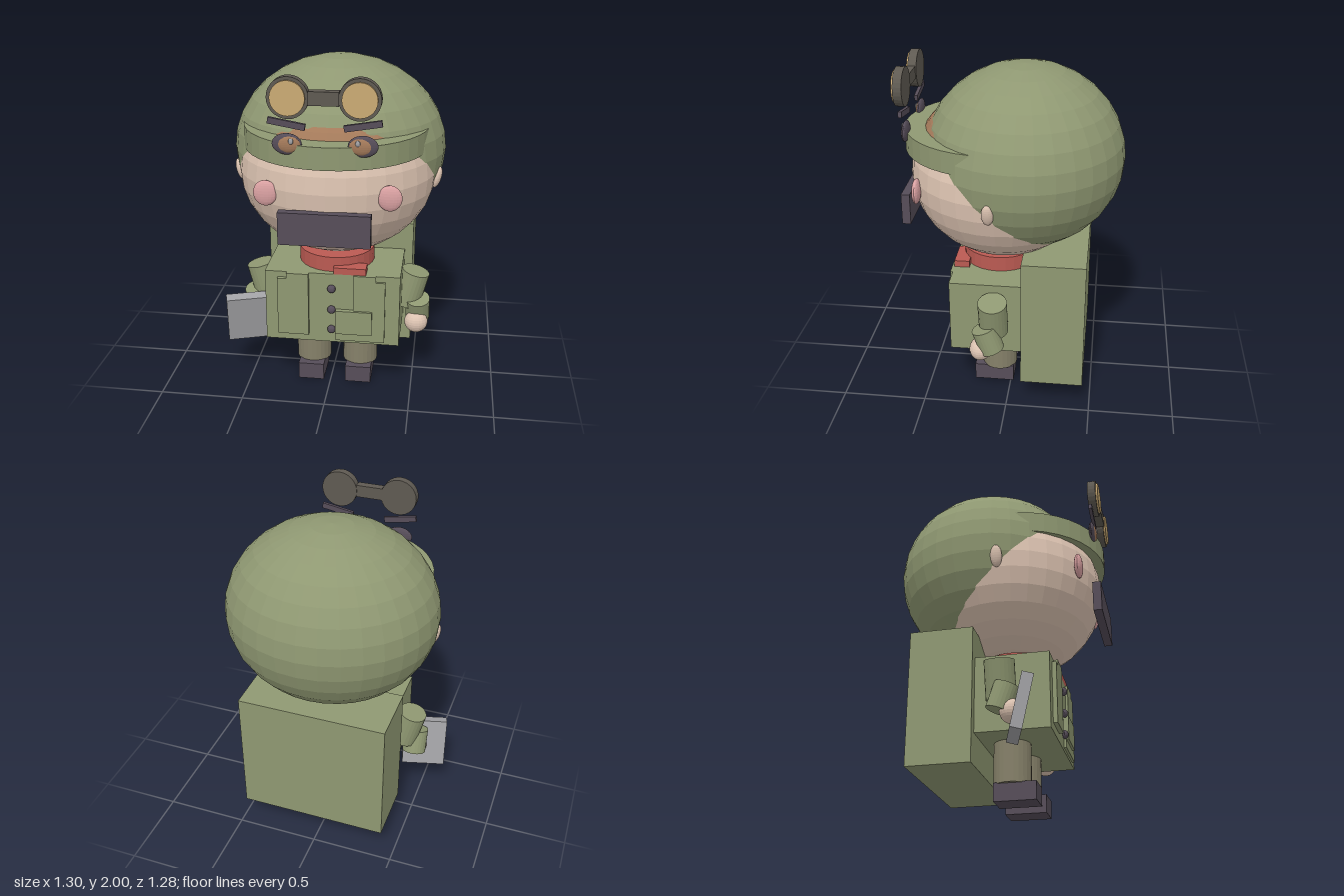
import * as THREE from 'three';

const MID = 0.025; // symmetry line of the figure

const mat = (name, color) => {
  const m = new THREE.MeshStandardMaterial({ color });
  m.name = name;
  return m;
};

export function createModel() {
  const green = mat('olive green', 0x8f9872);
  const skin = mat('skin', 0xdcc3b1);
  const brown = mat('brown', 0xa47a5a);
  const tan = mat('lens tan', 0xcbab74);
  const rimGrey = mat('goggle grey', 0x5f5a52);
  const slate = mat('dark slate', 0x564d59);
  const pink = mat('cheek pink', 0xdba2a3);
  const red = mat('scarf red', 0xba5a52);
  const steel = mat('light grey', 0xa2a2a5);
  const khaki = mat('trouser khaki', 0x858069);

  const model = new THREE.Group();
  model.name = 'soldierFigure';

  // faceted mesh from any built-in geometry
  const add = (name, geometry, material, pos, rot = [0, 0, 0]) => {
    const g = geometry.index ? geometry.toNonIndexed() : geometry;
    g.computeVertexNormals();
    const mesh = new THREE.Mesh(g, material);
    mesh.name = name;
    mesh.position.set(...pos);
    mesh.rotation.set(...rot);
    model.add(mesh);
    return mesh;
  };
  const box = (name, m, size, pos, rot) => add(name, new THREE.BoxGeometry(...size), m, pos, rot);
  const cyl = (name, m, r, h, pos, rot, seg = 24) =>
    add(name, new THREE.CylinderGeometry(r, r, h, seg), m, pos, rot);
  const ball = (name, m, radii, pos, rot, w = 20, h = 14, theta = Math.PI) =>
    add(name, new THREE.SphereGeometry(1, w, h, 0, Math.PI * 2, 0, theta).scale(...radii), m, pos, rot);
  // box given by its min and max corners
  const slab = (name, m, x0, x1, y0, y1, z0, z1) =>
    box(name, m, [x1 - x0, y1 - y0, z1 - z0], [(x0 + x1) / 2, (y0 + y1) / 2, (z0 + z1) / 2]);

  // head, hair and helmet
  ball('face', skin, [0.575, 0.5, 0.55], [MID, 1.36, 0.05], undefined, 32, 16);
  ball('hair', brown, [0.577, 0.502, 0.553], [MID, 1.36, 0.05], undefined, 32, 6, 1.08);
  ball('helmet', green, [0.622, 0.532, 0.582], [MID, 1.46, -0.06], undefined, 32, 16);
  cyl('helmetBrim', green, 0.53, 0.125, [MID, 1.5725, 0.1], undefined, 40);
  slab('moustache', slate, -0.23, 0.275, 1.08, 1.265, 0.58, 0.63);

  // goggles
  slab('goggleBridge', rimGrey, -0.055, 0.105, 1.855, 1.928, 0.585, 0.637);

  // collar scarf, torso and backpack
  cyl('scarf', red, 0.225, 0.12, [MID, 0.815, 0.08], undefined, 28);
  slab('scarfEnd', red, 0.035, 0.225, 0.785, 0.825, 0.25, 0.34);
  slab('torso', green, -0.37, 0.425, 0.34, 0.785, -0.12, 0.34);
  slab('backpack', green, -0.425, 0.475, 0.16, 0.955, -0.455, -0.085);

  // jacket front panels
  slab('rightFrontPanel', green, -0.295, -0.11, 0.39, 0.75, 0.33, 0.365);
  slab('rightShoulderStrap', green, -0.24, -0.11, 0.75, 0.785, 0.33, 0.365);
  slab('leftFrontPanel', green, 0.155, 0.34, 0.56, 0.75, 0.33, 0.355);
  slab('leftLowerPanel', green, 0.05, 0.34, 0.36, 0.56, 0.33, 0.355);
  slab('leftShoulderStrap', green, 0.155, 0.285, 0.75, 0.785, 0.33, 0.355);
  slab('pocket', green, 0.05, 0.265, 0.41, 0.56, 0.35, 0.37);
  for (const y of [0.43, 0.56, 0.695])
    ball('button', slate, [0.025, 0.025, 0.02], [MID, y, 0.352], undefined, 12, 8);

  // paired parts
  for (const s of [-1, 1]) {
    const side = s > 0 ? 'left' : 'right';
    const at = (dx, y, z) => [MID + s * dx, y, z];

    // goggle eyepieces
    cyl(side + 'GoggleRim', rimGrey, 0.11, 0.05, at(0.186, 1.89, 0.605), [Math.PI / 2, 0, 0], 28);
    cyl(side + 'GoggleLens', tan, 0.092, 0.03, at(0.186, 1.89, 0.627), [Math.PI / 2, 0, 0], 28);

    // face features
    box(side + 'Eyebrow', slate, [0.2, 0.034, 0.02], at(0.2, 1.747, 0.595), [0, 0, s * 0.17]);
    ball(side + 'Eye', slate, [0.08, 0.058, 0.02], at(0.2, 1.637, 0.59));
    ball(side + 'Iris', brown, [0.063, 0.046, 0.018], at(0.19, 1.637, 0.597));
    ball(side + 'EyeGlint', steel, [0.014, 0.017, 0.008], at(0.175, 1.657, 0.612), undefined, 10, 8);
    ball(side + 'Cheek', pink, [0.067, 0.073, 0.025], at(0.34, 1.333, 0.515));
    ball(side + 'Ear', skin, [0.025, 0.065, 0.034], at(0.58, 1.32, 0.08), [0, 0, s * -0.25]);

    // arms
    cyl(side + 'UpperArm', green, 0.085, 0.22, at(0.452, 0.61, 0.075), [0, 0, s * -0.25]);
    cyl(side + 'Forearm', green, 0.073, 0.15, at(0.497, 0.485, 0.1), [0.33, 0, 0]);
    ball(side + 'Hand', skin, [0.071, 0.068, 0.065], at(0.492, 0.41, 0.145));

    // legs and boots
    cyl(side + 'Leg', khaki, 0.106, 0.24, at(0.146, 0.22, 0.075));
    box(side + 'Boot', slate, [0.158, 0.105, 0.24], at(0.146, 0.0525, 0.103));
  }

  // case held in the right hand
  box('handCase', steel, [0.27, 0.31, 0.065], [-0.508, 0.405, 0.2], [0.22, 0.29, -0.04]);

  return model;
}
